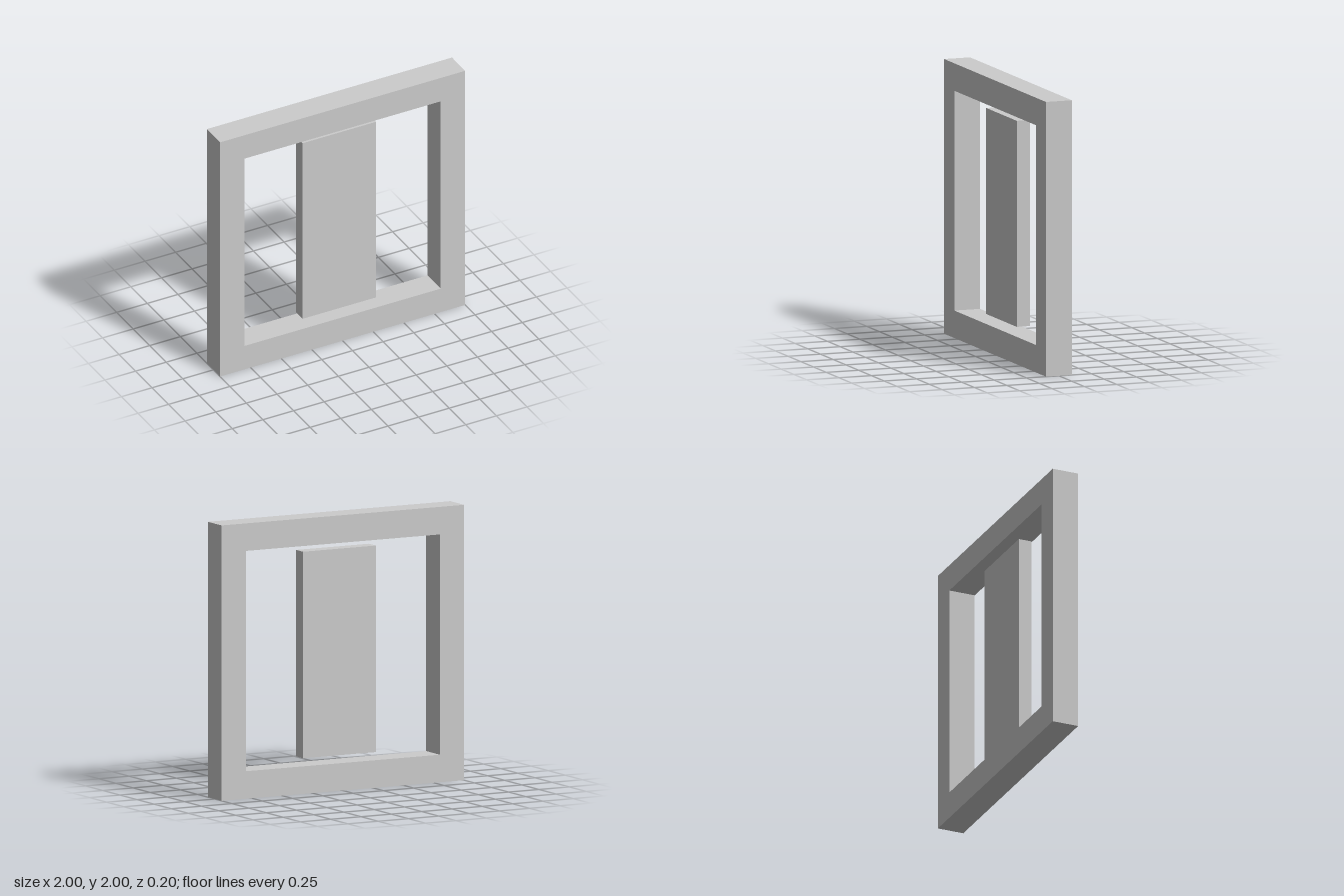
import * as THREE from 'three';

const SIZE = 2, BORDER = 0.2, FRAME_DEPTH = 0.2;
const PANEL = { width: 0.6, height: 1.5, depth: 0.1 };

// Closed rectangle centred on the origin
function rectangle(PathType, w, h) {
  return new PathType([[-1, -1], [1, -1], [1, 1], [-1, 1]]
    .map(([x, y]) => new THREE.Vector2(x * w / 2, y * h / 2)));
}

export function createModel() {
  const group = new THREE.Group();
  group.name = 'framedPanel';
  const material = new THREE.MeshStandardMaterial({ color: 0xcccccc });

  // Square frame with an open centre
  const outline = rectangle(THREE.Shape, SIZE, SIZE);
  const opening = SIZE - 2 * BORDER;
  outline.holes.push(rectangle(THREE.Path, opening, opening));
  const frameGeometry = new THREE.ExtrudeGeometry(outline, { depth: FRAME_DEPTH, bevelEnabled: false });
  frameGeometry.translate(0, 0, -FRAME_DEPTH / 2);
  const frame = new THREE.Mesh(frameGeometry, material);
  frame.name = 'frame';

  // Thinner upright panel floating in the opening
  const panel = new THREE.Mesh(new THREE.BoxGeometry(PANEL.width, PANEL.height, PANEL.depth), material);
  panel.name = 'centrePanel';

  for (const part of [frame, panel]) {
    part.position.y = SIZE / 2;
    group.add(part);
  }
  return group;
}
